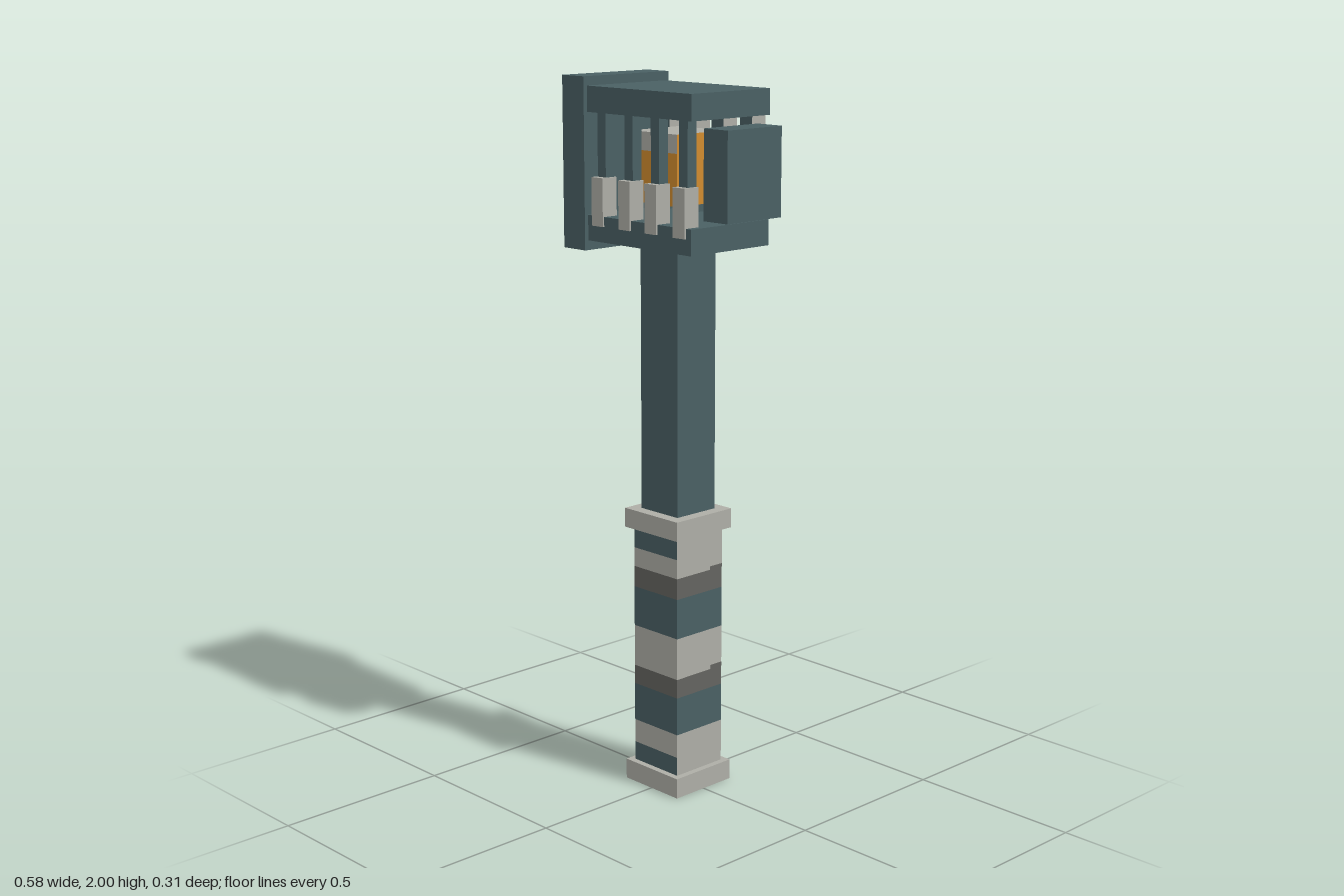
import * as THREE from 'three';

const mat = (name, color) => {
  const m = new THREE.MeshStandardMaterial({ color });
  m.name = name;
  return m;
};

export function createModel() {
  const model = new THREE.Group();
  model.name = 'warHammer';
  const iron = mat('darkTealIron', 0x4a6064);
  const pale = mat('paleGrey', 0xaeaea7);
  const dim = mat('dimGrey', 0x646460);
  const amber = mat('amber', 0xd18c2e);

  // Box from its min and max corners; material may list +x, -x, +y, -y, +z, -z
  const box = (name, [x0, y0, z0], [x1, y1, z1], material, parent = model) => {
    const mesh = new THREE.Mesh(new THREE.BoxGeometry(x1 - x0, y1 - y0, z1 - z0), material);
    mesh.position.set((x0 + x1) / 2, (y0 + y1) / 2, (z0 + z1) / 2);
    mesh.name = name;
    parent.add(mesh);
    return mesh;
  };
  // Square column centred on the y axis
  const column = (name, r, y0, y1, material, parent) =>
    box(name, [-r, y0, -r], [r, y1, r], material, parent);

  // Shaft and grip collars
  column('pommel', 0.105, 0, 0.058, [pale, pale, pale, dim, pale, pale]);
  column('gripCollar', 0.105, 0.755, 0.81, pale);
  column('shaft', 0.072, 0.81, 1.557, iron);

  // Wrapped grip: bands of [bottom, top, front and back, sides]
  const grip = new THREE.Group();
  grip.name = 'grip';
  model.add(grip);
  const bands = [
    [0.058, 0.112, iron, pale], [0.112, 0.18, pale, pale], [0.18, 0.29, iron, iron],
    [0.29, 0.345, dim, dim], [0.345, 0.465, pale, pale], [0.465, 0.58, iron, iron],
    [0.58, 0.64, dim, dim], [0.64, 0.695, pale, pale], [0.695, 0.755, iron, pale],
  ];
  for (const [y0, y1, f, s] of bands) column('gripBand', 0.087, y0, y1, [s, s, f, f, f, f], grip);
  // Small raised steps in the dim bands on both sides
  for (const s of [-1, 1]) {
    const a = s * 0.086 - 0.002, b = s * 0.086 + 0.002;
    box('bandStep', [a, 0.64, -0.087], [b, 0.65, -0.04], dim, grip);
    box('bandStep', [a, 0.345, -0.087], [b, 0.357, -0.045], dim, grip);
  }

  // Hammer head
  box('headPlate', [-0.29, 1.53, -0.157], [-0.203, 2, 0.157], iron);
  box('topSlab', [-0.203, 1.905, -0.145], [0.2, 1.975, 0.145], iron);
  box('bottomSlab', [-0.203, 1.557, -0.145], [0.2, 1.627, 0.145], iron);
  box('strikingBlock', [0.2, 1.645, -0.1], [0.287, 1.885, 0.1], iron);

  // Floating core, pale along the top of its front and back
  const core = new THREE.Group();
  core.name = 'core';
  model.add(core);
  column('coreBody', 0.088, 1.67, 1.81, amber, core);
  column('coreCap', 0.088, 1.81, 1.86, [amber, amber, pale, amber, pale, pale], core);
  box('coreCorner', [-0.088, 1.77, 0.086], [-0.05, 1.81, 0.089], pale, core);

  // Cage bars with clips: low on the front, high on the back
  for (const x of [-0.16, -0.0525, 0.05, 0.1575]) {
    box('frontBar', [x - 0.016, 1.627, 0.1], [x + 0.016, 1.905, 0.132], iron);
    box('backBar', [x - 0.016, 1.627, -0.132], [x + 0.016, 1.905, -0.1], iron);
    box('frontClip', [x - 0.0225, 1.6, 0.099], [x + 0.0225, 1.732, 0.15],
      [pale, pale, pale, pale, pale, iron]);
    box('backClip', [x - 0.0225, 1.8, -0.15], [x + 0.0225, 1.932, -0.099],
      [pale, pale, pale, pale, iron, pale]);
  }
  return model;
}
